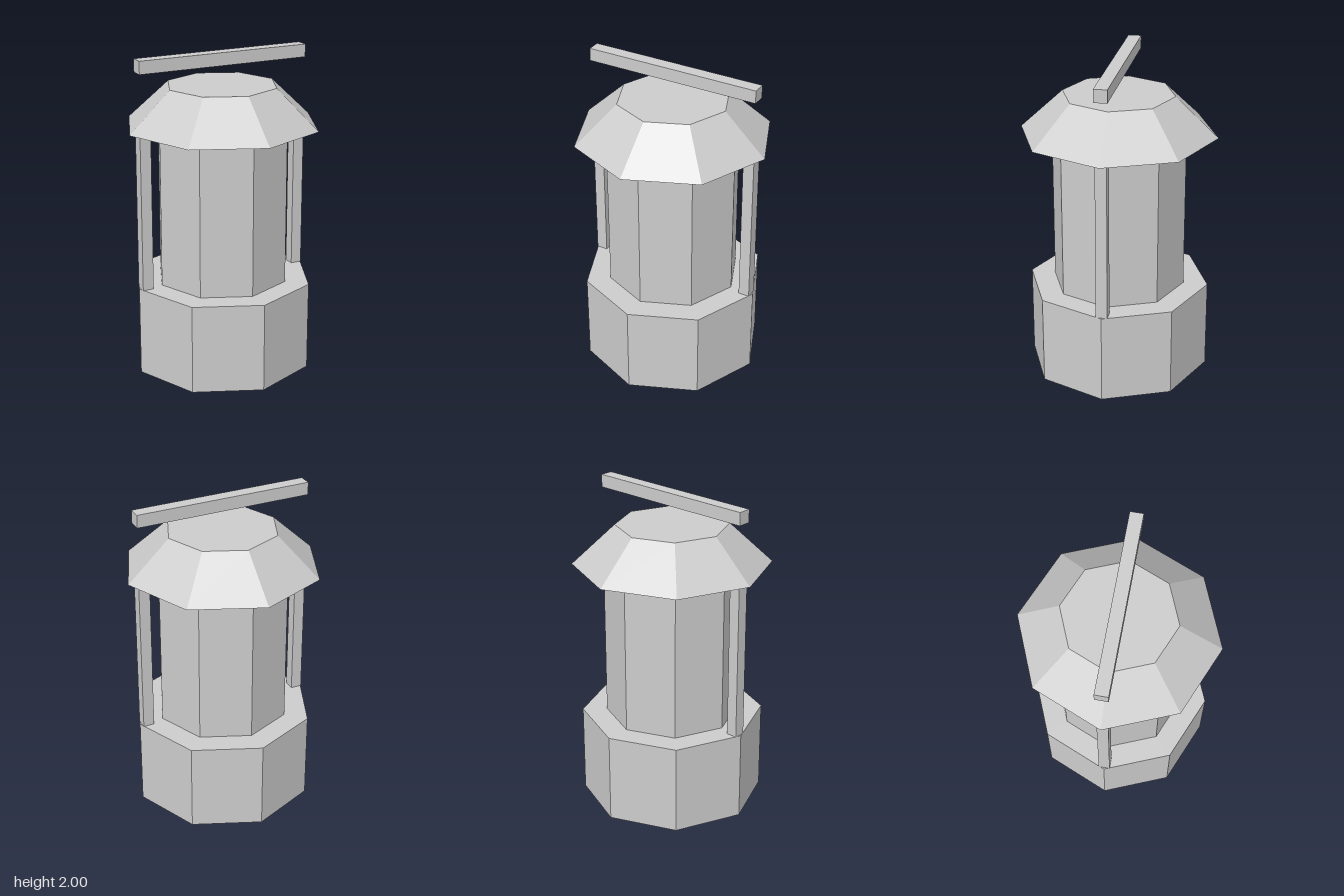
import * as THREE from 'three';

const SIDES = 8;

export function createModel() {
  const group = new THREE.Group();
  group.name = 'lantern';
  const grey = new THREE.MeshStandardMaterial({ color: 0xcccccc, flatShading: true });
  grey.name = 'light grey';

  const add = (name, geometry, x, y) => {
    const mesh = new THREE.Mesh(geometry, grey);
    mesh.name = name;
    mesh.position.set(x, y, 0);
    group.add(mesh);
  };

  // Eight-sided section between two heights, with a corner facing the front
  const section = (name, topRadius, bottomRadius, y0, y1) =>
    add(name, new THREE.CylinderGeometry(topRadius, bottomRadius, y1 - y0, SIDES), 0, (y0 + y1) / 2);

  section('base', 0.57, 0.57, 0, 0.563);
  section('lampBody', 0.417, 0.417, 0.563, 1.543);
  section('cap', 0.347, 0.611, 1.55, 1.797);

  // Upright posts on both sides
  for (const [name, side] of [['leftPost', 1], ['rightPost', -1]]) {
    add(name, new THREE.BoxGeometry(0.07, 0.98, 0.07), side * 0.524, 1.053);
  }

  // Carrying bar above the cap
  add('handle', new THREE.BoxGeometry(1.114, 0.08, 0.082), 0, 1.96);

  return group;
}
